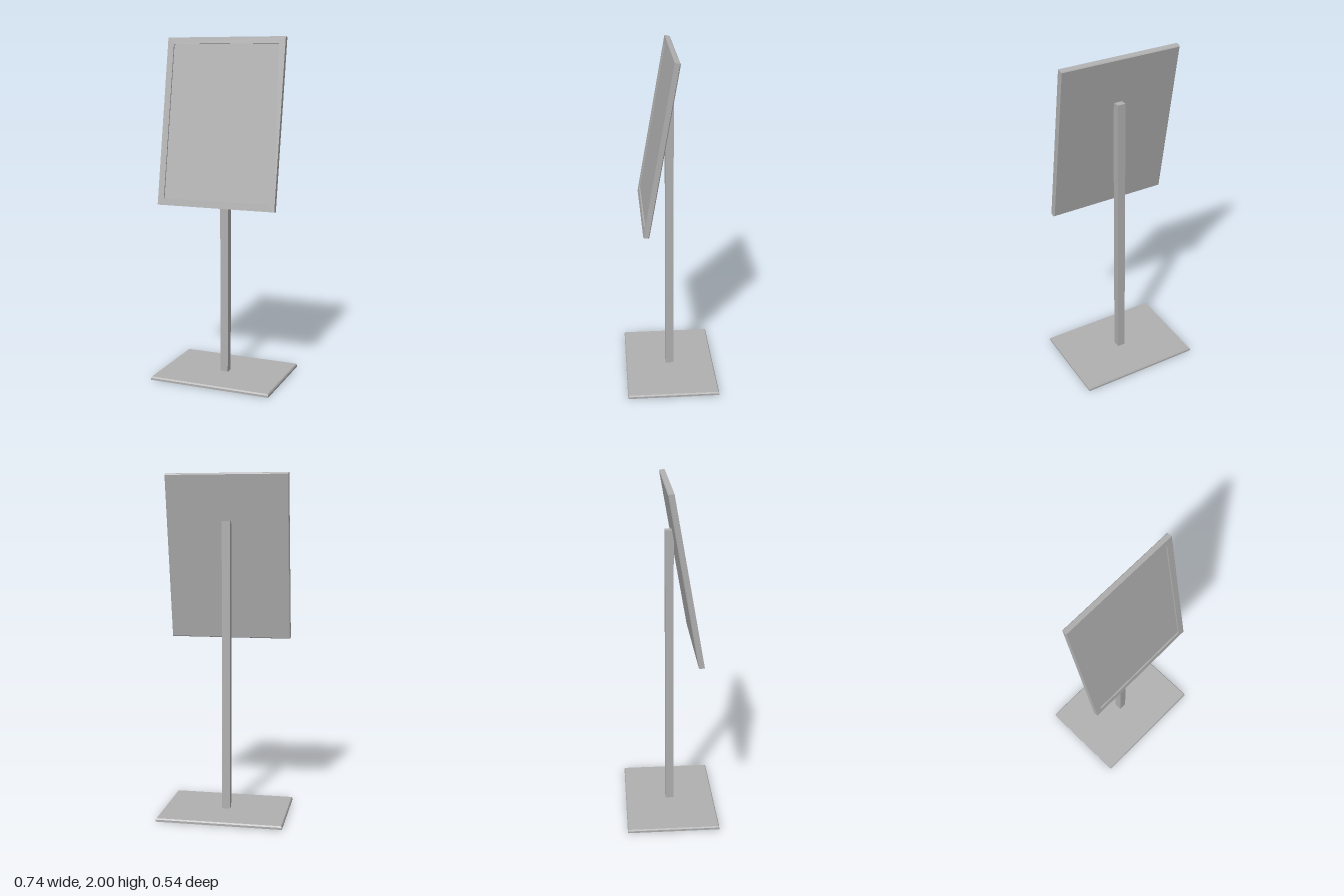
import * as THREE from 'three';

const metal = new THREE.MeshStandardMaterial({ color: 0xb0b0b0 });
metal.name = 'grey metal';

function part(name, geometry, parent) {
  const mesh = new THREE.Mesh(geometry, metal);
  mesh.name = name;
  parent.add(mesh);
  return mesh;
}

// Slab standing on y = 0 whose upper edges are chamfered
function chamferedSlab(w, h, d, chamfer, inset) {
  const box = new THREE.BoxGeometry(w, h, d, 1, 2, 1);
  const p = box.attributes.position;
  for (let i = 0; i < p.count; i++) {
    const y = p.getY(i);
    if (y > h * 0.25) {
      p.setX(i, Math.sign(p.getX(i)) * (w / 2 - inset));
      p.setZ(i, Math.sign(p.getZ(i)) * (d / 2 - inset));
      p.setY(i, h);
    } else {
      p.setY(i, y < -h * 0.25 ? 0 : h - chamfer);
    }
  }
  const flat = box.toNonIndexed();
  flat.computeVertexNormals();
  return flat;
}

function rectangle(target, w, h) {
  target.moveTo(-w / 2, -h / 2);
  target.lineTo(w / 2, -h / 2);
  target.lineTo(w / 2, h / 2);
  target.lineTo(-w / 2, h / 2);
  target.closePath();
  return target;
}

export function createModel() {
  const model = new THREE.Group();
  model.name = 'signStand';

  // Floor plate and post
  part('basePlate', chamferedSlab(0.736, 0.02, 0.542, 0.008, 0.005), model);
  const post = part('post', new THREE.BoxGeometry(0.048, 1.712, 0.048), model);
  post.position.y = 0.016 + 1.712 / 2;

  // Display panel, leaning back 10 degrees from its top front edge
  const W = 0.718, H = 0.975, recess = 0.008, thickness = 0.033, border = 0.038;
  const panel = new THREE.Group();
  panel.name = 'displayPanel';
  panel.position.y = 2;
  panel.rotation.x = -THREE.MathUtils.degToRad(10);
  model.add(panel);

  // Raised rim around the recessed display face
  const outline = rectangle(new THREE.Shape(), W, H);
  outline.holes.push(rectangle(new THREE.Path(), W - border * 2, H - border * 2));
  const rim = part('frameRim', new THREE.ExtrudeGeometry(outline, { depth: recess, bevelEnabled: false }), panel);
  rim.position.set(0, -H / 2, -recess);

  // Backing board with chamfered rear edges
  const board = part('backingBoard', chamferedSlab(W, thickness - recess, H, 0.005, 0.005), panel);
  board.rotation.x = -Math.PI / 2;
  board.position.set(0, -H / 2, -recess);

  return model;
}
